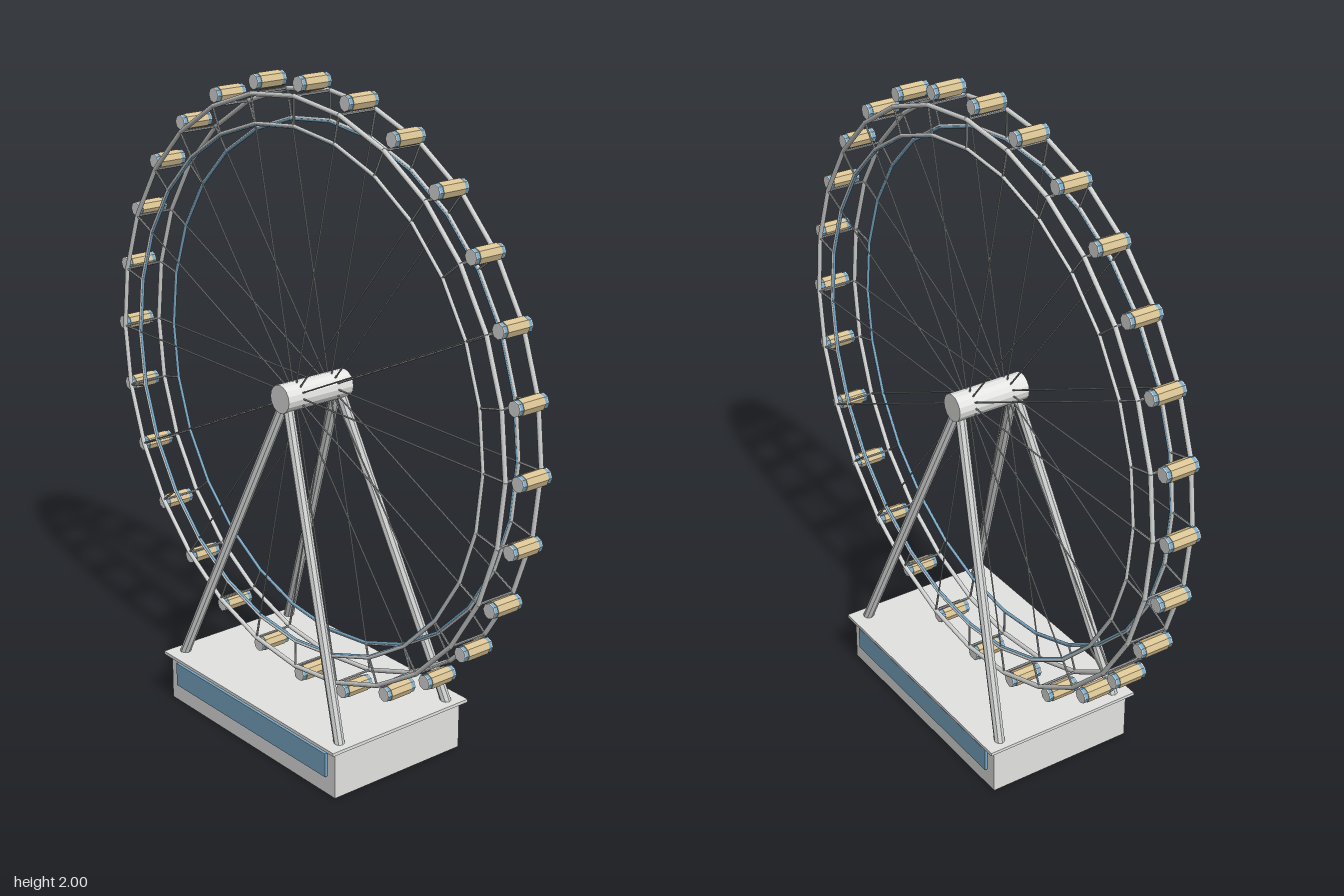
import * as THREE from 'three';

const HUB_Y = 1.077, COUNT = 28, RIM_Z = 0.065;
const R_OUT = 0.868, R_IN = 0.785, R_POD = 0.899;

const mat = (name, color) => {
  const m = new THREE.MeshStandardMaterial({ color });
  m.name = name;
  m.flatShading = true;
  return m;
};

export function createModel() {
  const lightGrey = mat('light grey', 0xe4e4e3);
  const steel = mat('steel grey', 0xd0d1d1);
  const cable = mat('cable grey', 0xa9abac);
  const blue = mat('glass blue', 0x7aaac8);
  const tan = mat('cabin tan', 0xdac494);

  const model = new THREE.Group();
  model.name = 'ferrisWheel';

  const add = (parent, name, geo, material, x = 0, y = 0, z = 0) => {
    const mesh = new THREE.Mesh(geo, material);
    mesh.name = name;
    mesh.position.set(x, y, z);
    parent.add(mesh);
    return mesh;
  };

  // Straight rod between two points
  const rod = (parent, name, a, b, r, material, sides = 6) => {
    const dir = b.clone().sub(a);
    const mesh = add(parent, name, new THREE.CylinderGeometry(r, r, dir.length(), sides), material);
    mesh.position.copy(a).add(b).multiplyScalar(0.5);
    mesh.quaternion.setFromUnitVectors(new THREE.Vector3(0, 1, 0), dir.normalize());
  };

  // Cylinder lying along z
  const drum = (parent, name, r, length, sides, material, y, z) => {
    const geo = new THREE.CylinderGeometry(r, r, length, sides).rotateX(Math.PI / 2);
    add(parent, name, geo, material, 0, y, z);
  };

  // Point on the wheel, counted clockwise from the top
  const at = (k, r, z) => {
    const a = (k / COUNT) * Math.PI * 2;
    return new THREE.Vector3(Math.sin(a) * r, Math.cos(a) * r, z);
  };

  // Station base with overhanging deck and a window band front and back
  const base = new THREE.Group();
  base.name = 'base';
  model.add(base);
  add(base, 'station', new THREE.BoxGeometry(0.8, 0.15, 0.48), lightGrey, 0, 0.075, 0);
  add(base, 'deck', new THREE.BoxGeometry(0.83, 0.01, 0.52), lightGrey, 0, 0.154, 0);
  for (const s of [1, -1]) {
    add(base, 'stationWindow', new THREE.BoxGeometry(0.73, 0.075, 0.0095), blue, 0, 0.095, s * 0.2447);
  }

  // Four splayed legs and the axle hub
  const supports = new THREE.Group();
  supports.name = 'supports';
  model.add(supports);
  for (const sx of [1, -1]) for (const sz of [1, -1]) {
    rod(supports, 'supportLeg', new THREE.Vector3(sx * 0.38, 0.15, sz * 0.207),
      new THREE.Vector3(0, HUB_Y, sz * 0.095), 0.016, steel, 8);
  }
  drum(supports, 'hub', 0.043, 0.24, 16, lightGrey, HUB_Y, 0);

  // Wheel: paired rims with light strips, struts, cross bars and spokes
  const wheel = new THREE.Group();
  wheel.name = 'wheel';
  wheel.position.y = HUB_Y;
  model.add(wheel);
  for (let k = 0; k < COUNT; k++) {
    for (const s of [1, -1]) {
      const z = s * RIM_Z, zLight = s * (RIM_Z - 0.002);
      rod(wheel, 'outerRim', at(k, R_OUT, z), at(k + 1, R_OUT, z), 0.007, steel, 14);
      rod(wheel, 'innerRim', at(k, R_IN, z), at(k + 1, R_IN, z), 0.005, steel, 14);
      rod(wheel, 'lightStrip', at(k, R_IN - 0.004, zLight), at(k + 1, R_IN - 0.004, zLight), 0.0045, blue, 14);
      rod(wheel, 'rimStrut', at(k, R_IN, z), at(k, R_OUT, z), 0.0035, cable);
      if (k % 2) rod(wheel, 'spoke', at(k, 0.03, z), at(k, R_IN, z), 0.0025, cable);
    }
    rod(wheel, 'crossBar', at(k, R_OUT, -RIM_Z), at(k, R_OUT, RIM_Z), 0.004, cable);
  }

  // Passenger cabins around the rim, glazed at both ends
  for (let k = 0; k < COUNT; k++) {
    const cabin = new THREE.Group();
    cabin.name = 'cabin';
    cabin.position.copy(at(k, R_POD, 0));
    wheel.add(cabin);
    drum(cabin, 'cabinBody', 0.0245, 0.076, 8, tan, 0, 0);
    for (const s of [1, -1]) {
      drum(cabin, 'cabinGlass', 0.0225, 0.011, 8, blue, 0, s * 0.0435);
      drum(cabin, 'cabinEnd', 0.0225, 0.003, 8, lightGrey, 0, s * 0.0505);
    }
  }

  return model;
}
